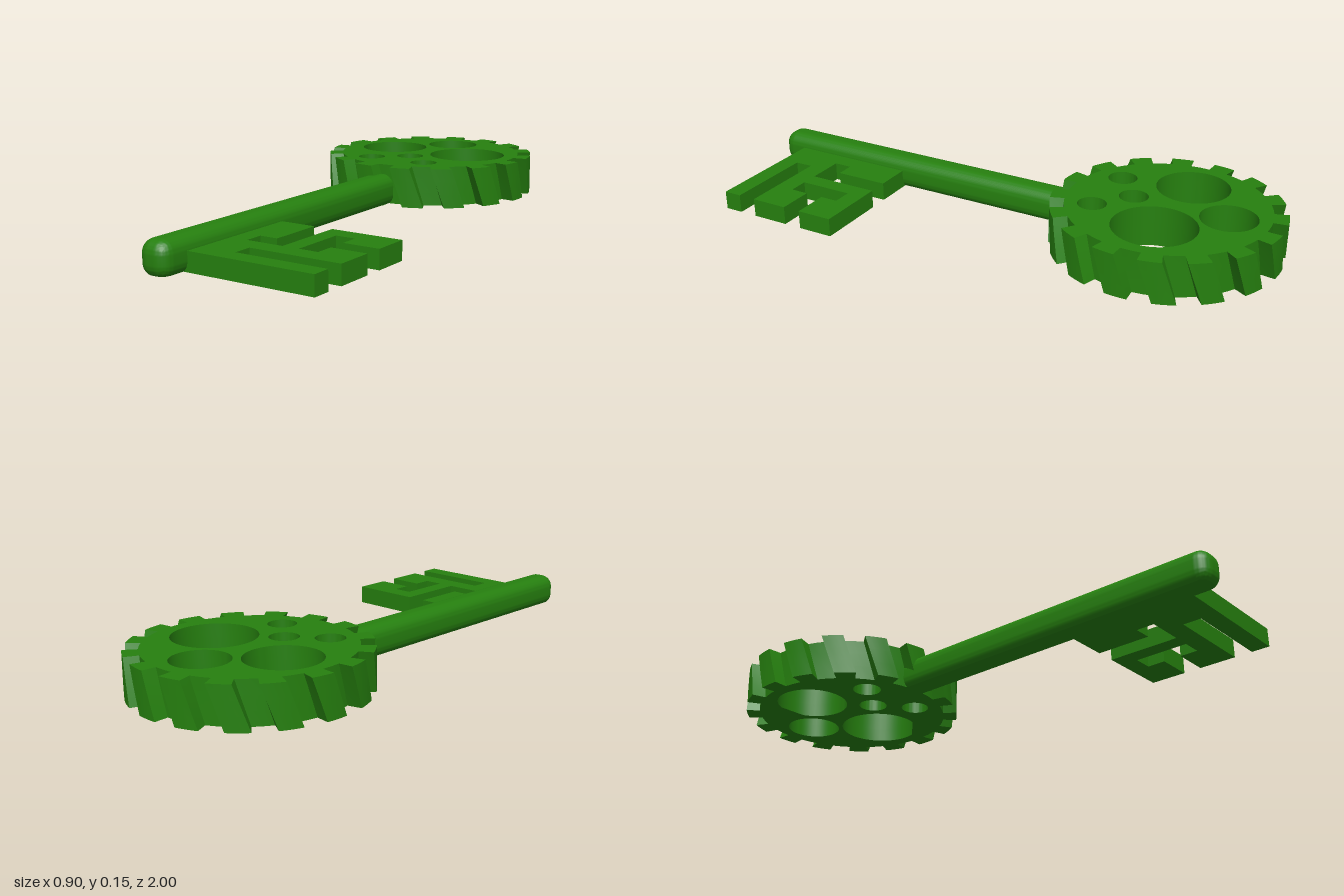
import * as THREE from 'three';
import { toCreasedNormals } from 'three/addons/utils/BufferGeometryUtils.js';
import { RoundedBoxGeometry } from 'three/addons/geometries/RoundedBoxGeometry.js';

const material = new THREE.MeshStandardMaterial({ color: 0x26800f });
const rad = THREE.MathUtils.degToRad;

function addPart(group, name, geometry, x = 0, y = 0, z = 0) {
  const mesh = new THREE.Mesh(toCreasedNormals(geometry, rad(30)), material);
  mesh.name = name;
  mesh.position.set(x, y, z);
  group.add(mesh);
}

// Helical gear head with round holes; plan coordinates relative to its centre
function gearHead() {
  const R = 0.4, ROOT = 0.35, HEIGHT = 0.147, TEETH = 16, TWIST = rad(7.5);
  const pitch = 360 / TEETH, notchStart = -3.8, notchEnd = 7.5;
  const points = [];
  const arc = (r, from, to, n) => {
    for (let i = 0; i <= n; i++) {
      const a = rad(from + (to - from) * i / n);
      points.push(new THREE.Vector2(r * Math.cos(a), r * Math.sin(a)));
    }
  };
  for (let k = 0; k < TEETH; k++) {
    const a = k * pitch;
    arc(ROOT, a + notchStart, a + notchEnd, 2);
    arc(R, a + notchEnd, a + pitch + notchStart, 4);
  }
  const shape = new THREE.Shape(points);
  const holes = [ // x, z, radius
    [-0.01, -0.21, 0.098], [-0.18, -0.025, 0.129], [0.16, -0.015, 0.145],
    [-0.015, 0.13, 0.051], [-0.135, 0.222, 0.051], [0.105, 0.232, 0.05],
  ];
  for (const [x, z, r] of holes) {
    shape.holes.push(new THREE.Path().absarc(x, -z, r, 0, Math.PI * 2, true));
  }
  const geometry = new THREE.ExtrudeGeometry(shape, {
    depth: HEIGHT, steps: 3, curveSegments: 24, bevelEnabled: false,
  });
  // Twist the toothed rim only, so the holes stay vertical
  const p = geometry.attributes.position;
  for (let i = 0; i < p.count; i++) {
    const x = p.getX(i), y = p.getY(i), a = TWIST * (1 - p.getZ(i) / HEIGHT);
    if (Math.hypot(x, y) < ROOT - 0.01) continue;
    p.setXY(i, x * Math.cos(a) - y * Math.sin(a), x * Math.sin(a) + y * Math.cos(a));
  }
  return geometry.rotateX(-Math.PI / 2);
}

// Rounded bar with a flattened underside
function shaftBar() {
  const geometry = new RoundedBoxGeometry(0.11, 0.12, 1.3, 6, 0.045);
  geometry.translate(0, 0.05, 0);
  const p = geometry.attributes.position;
  for (let i = 0; i < p.count; i++) p.setY(i, Math.max(0, p.getY(i)));
  return geometry;
}

// Flat key bit cut as a maze-like outline (x, z)
function keyBit() {
  const outline = [
    [-0.06, 0.44], [0.12, 0.44], [0.12, 0.635], [0.055, 0.635], [0.055, 0.7],
    [0.19, 0.7], [0.19, 0.44], [0.45, 0.44], [0.45, 0.57], [0.32, 0.57],
    [0.32, 0.505], [0.25, 0.505], [0.25, 0.7], [0.32, 0.7], [0.32, 0.635],
    [0.45, 0.635], [0.45, 0.77], [0.12, 0.77], [0.12, 0.835], [0.45, 0.835],
    [0.45, 0.9], [-0.06, 0.9],
  ];
  const shape = new THREE.Shape(outline.map(([x, z]) => new THREE.Vector2(x, -z)));
  return new THREE.ExtrudeGeometry(shape, { depth: 0.066, bevelEnabled: false })
    .rotateX(-Math.PI / 2);
}

export function createModel() {
  const key = new THREE.Group();
  key.name = 'gearKey';
  addPart(key, 'gearHead', gearHead(), -0.05, 0, -0.6);
  addPart(key, 'shaft', shaftBar(), -0.064, 0, 0.35);
  addPart(key, 'keyBit', keyBit());
  return key;
}
